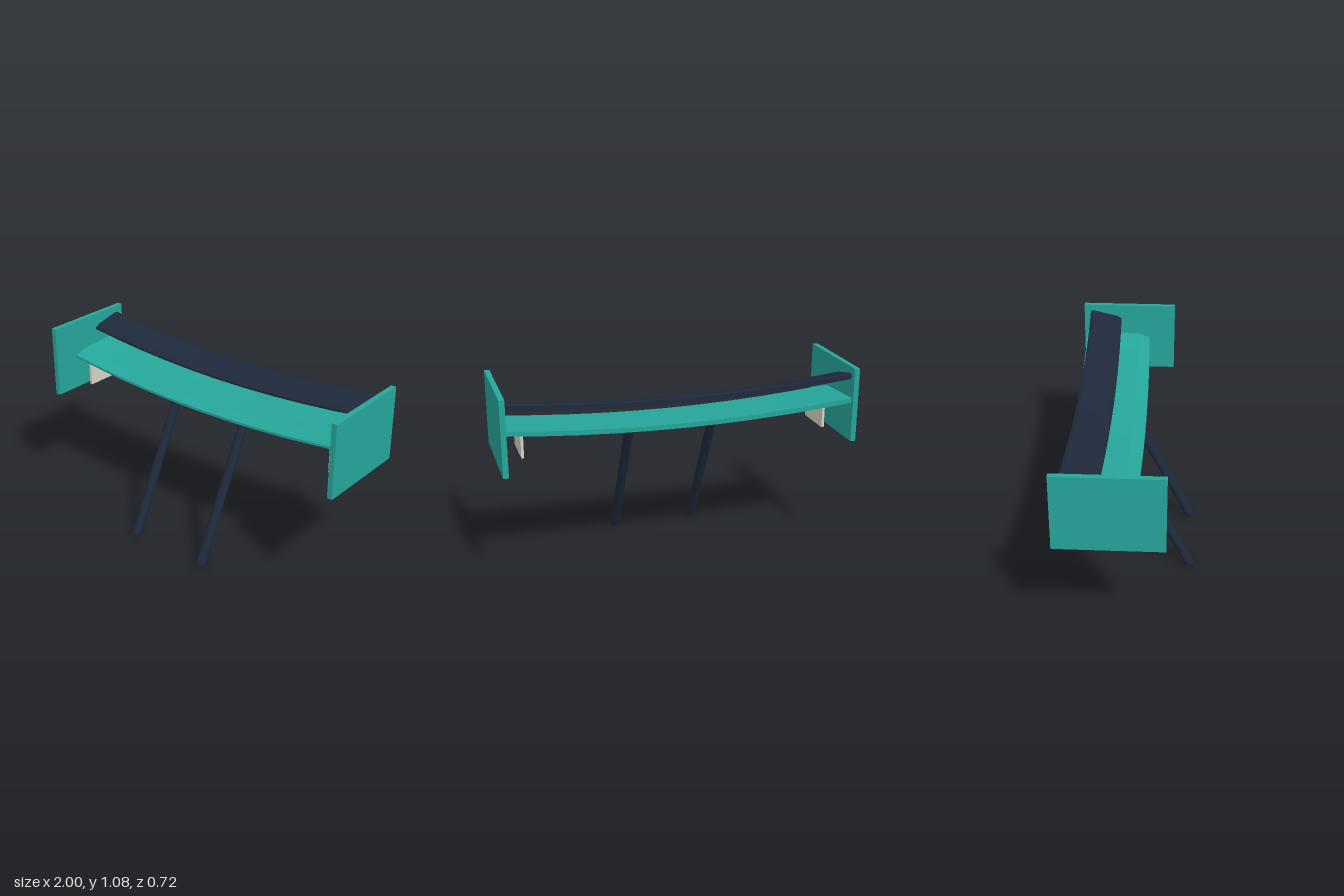
import * as THREE from 'three';

const mat = (name, color) => new THREE.MeshStandardMaterial({ name, color, flatShading: true });

// Lofts a [z, y] profile (front bottom, over the top, back underneath) along x,
// curving upward and backward toward the tips.
function wingGeometry(profile, halfSpan, rise, sweep, segments = 10) {
  const n = profile.length, pos = [], index = [];
  for (let s = 0; s <= segments; s++) {
    const t = (s / segments) * 2 - 1;
    for (const [z, y] of profile) pos.push(t * halfSpan, y + rise * t * t, z - sweep * t * t);
  }
  for (let s = 0; s < segments; s++) {
    for (let i = 0; i < n; i++) {
      const a = s * n + i, b = s * n + (i + 1) % n;
      index.push(a, a + n, b, b, a + n, b + n);
    }
  }
  // End caps
  const last = segments * n;
  for (let i = 1; i < n - 1; i++) {
    index.push(0, i, i + 1, last, last + i + 1, last + i);
  }
  const g = new THREE.BufferGeometry();
  g.setAttribute('position', new THREE.Float32BufferAttribute(pos, 3));
  g.setIndex(index);
  const flat = g.toNonIndexed();
  flat.computeVertexNormals();
  return flat;
}

export function createModel() {
  const group = new THREE.Group();
  group.name = 'rearWing';
  const teal = mat('teal', 0x26a69a);
  const navy = mat('navy', 0x1e293b);
  const beige = mat('beige', 0xd6d3c4);

  const add = (name, geometry, material, x = 0, y = 0, z = 0) => {
    const m = new THREE.Mesh(geometry, material);
    m.name = name;
    m.position.set(x, y, z);
    group.add(m);
    return m;
  };

  // Lower main plane
  add('mainPlane', wingGeometry([
    [0.07, 0.8], [0.07, 0.814], [0, 0.836],
    [-0.325, 0.855], [-0.325, 0.828], [0, 0.796],
  ], 0.975, 0.057, 0.018), teal);

  // Upper flap, tilted up at the back
  add('upperFlap', wingGeometry([
    [-0.11, 0.93], [-0.112, 0.942], [-0.14, 0.957],
    [-0.285, 0.991], [-0.303, 0.987], [-0.303, 0.96],
  ], 0.975, 0.057, 0.017), navy);

  const foot = new THREE.Vector3(0, 0.0125, 0.337);
  const top = new THREE.Vector3(0, 0.815, -0.075);
  const along = top.clone().sub(foot);

  for (const side of [-1, 1]) {
    const label = side > 0 ? 'left' : 'right';
    // End plates
    add(label + 'EndPlate', new THREE.BoxGeometry(0.03, 0.425, 0.57), teal, side * 0.985, 0.8725, -0.075);
    // Small strakes under the tips
    add(label + 'Strake', new THREE.BoxGeometry(0.015, 0.15, 0.235), beige, side * 0.87, 0.775, -0.08);
    // Slanted support pillars
    const pillar = add(label + 'Pillar', new THREE.CylinderGeometry(0.027, 0.027, along.length(), 12), navy);
    pillar.position.copy(foot).add(top).multiplyScalar(0.5);
    pillar.position.x = side * 0.245;
    pillar.quaternion.setFromUnitVectors(new THREE.Vector3(0, 1, 0), along.clone().normalize());
  }
  return group;
}
